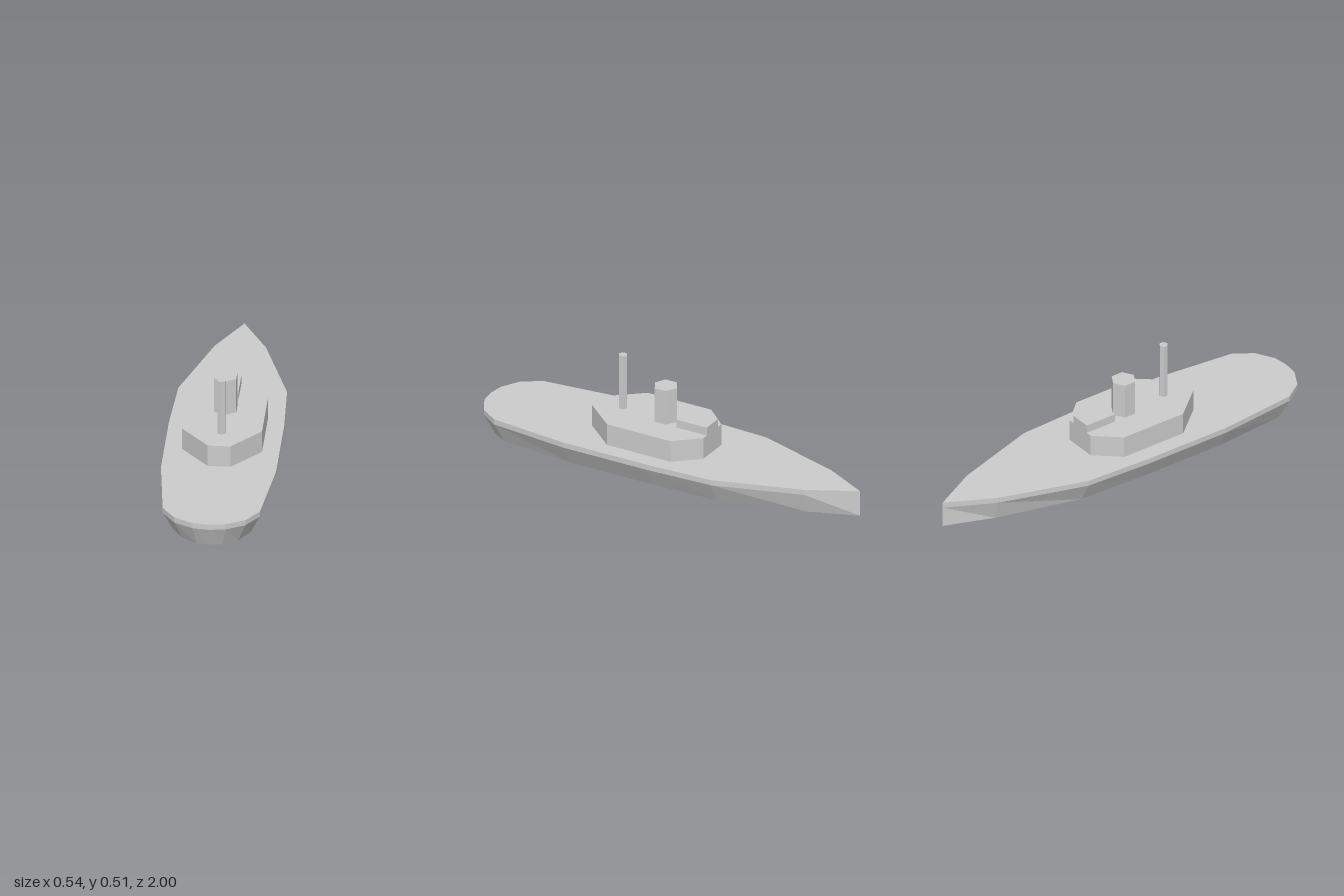
import * as THREE from 'three';

const material = new THREE.MeshStandardMaterial({ color: 0xcccccc, flatShading: true });

// Half outlines as [x, z], from the bow (-z) to the stern (+z)
const deckLine = [[0, -1], [0.12, -0.77], [0.255, -0.34], [0.27, 0], [0.27, 0.45],
  [0.228, 0.85], [0.167, 0.94], [0.077, 0.99], [0, 1]];
const keelLine = [[0, -1], [0.09, -0.76], [0.2, -0.34], [0.213, 0], [0.213, 0.45],
  [0.18, 0.82], [0.13, 0.9], [0.06, 0.945], [0, 0.955]];
const houseLine = [[0.083, -0.2], [0.188, -0.083], [0.188, 0.26], [0.053, 0.42]];

// Mirrors a half outline into a closed ring at height y
function ring(half, y) {
  const other = half.filter(([x]) => x > 0).reverse().map(([x, z]) => [-x, z]);
  return [...half, ...other].map(([x, z]) => new THREE.Vector3(x, y, z));
}

// Joins rings from bottom to top and closes both ends
function loft(rings) {
  const points = [];
  const n = rings[0].length;
  const bottom = rings[0];
  const top = rings[rings.length - 1];
  const bottomCentre = new THREE.Vector3(0, bottom[0].y, 0);
  const topCentre = new THREE.Vector3(0, top[0].y, 0);
  for (let i = 0; i < n; i++) {
    const j = (i + 1) % n;
    for (let r = 0; r < rings.length - 1; r++) {
      const low = rings[r];
      const up = rings[r + 1];
      points.push(low[i], up[i], up[j], low[i], up[j], low[j]);
    }
    points.push(bottomCentre, bottom[i], bottom[j], topCentre, top[j], top[i]);
  }
  const geometry = new THREE.BufferGeometry().setFromPoints(points);
  geometry.computeVertexNormals();
  return geometry;
}

export function createModel() {
  const model = new THREE.Group();
  model.name = 'ship';

  const add = (name, geometry, y = 0, z = 0) => {
    const mesh = new THREE.Mesh(geometry, material);
    mesh.name = name;
    mesh.position.set(0, y, z);
    model.add(mesh);
  };

  // Flared hull with an upright band below the deck
  add('hull', loft([ring(keelLine, 0), ring(deckLine, 0.102), ring(deckLine, 0.129)]));

  // Eight-sided deckhouse
  add('deckhouse', loft([ring(houseLine, 0.129), ring(houseLine, 0.237)]));

  // Low box at the bow end of the deckhouse roof
  add('bridge', new THREE.BoxGeometry(0.104, 0.041, 0.165), 0.2575, -0.1175);

  // Six-sided funnel and mast
  add('funnel', new THREE.CylinderGeometry(0.06, 0.06, 0.176, 6), 0.325, 0.052);
  add('mast', new THREE.CylinderGeometry(0.0215, 0.0215, 0.278, 6), 0.376, 0.285);

  return model;
}
